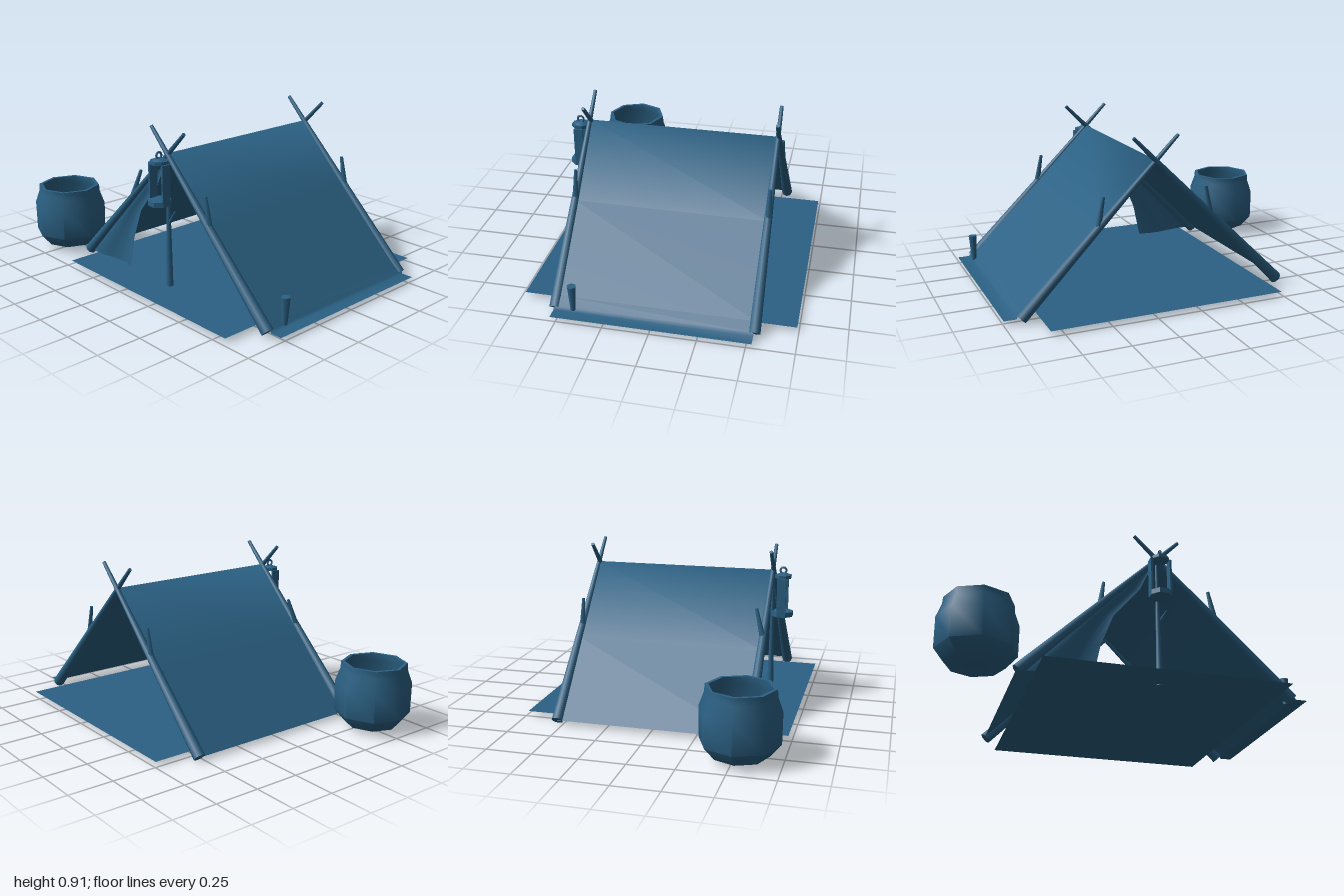
import * as THREE from 'three';
import { toCreasedNormals } from 'three/addons/utils/BufferGeometryUtils.js';

const mat = new THREE.MeshStandardMaterial({ color: 0x2b6184 });
const clothMat = new THREE.MeshStandardMaterial({ color: 0x2b6184, side: THREE.DoubleSide });
const V = (x, y, z) => new THREE.Vector3(x, y, z);

function part(parent, name, geometry, material = mat) {
  const mesh = new THREE.Mesh(geometry, material);
  mesh.name = name;
  parent.add(mesh);
  return mesh;
}

// Tapered round stick running from a to b
function stick(parent, name, a, b, ra, rb, sides = 8) {
  const dir = b.clone().sub(a);
  const mesh = part(parent, name, new THREE.CylinderGeometry(rb, ra, dir.length(), sides));
  mesh.position.copy(a).add(b).multiplyScalar(0.5);
  mesh.quaternion.setFromUnitVectors(V(0, 1, 0), dir.normalize());
  return mesh;
}

// Thin cloth surface: fn(u, v) gives a point, u and v from 0 to 1
function cloth(parent, name, nu, nv, fn) {
  const geo = new THREE.PlaneGeometry(1, 1, nu, nv);
  const { position: pos, uv } = geo.attributes;
  for (let i = 0; i < pos.count; i++) {
    const p = fn(uv.getX(i), 1 - uv.getY(i));
    pos.setXYZ(i, p.x, p.y, p.z);
  }
  geo.computeVertexNormals();
  return part(parent, name, geo, clothMat);
}

export function createModel() {
  const root = new THREE.Group();
  root.name = 'tent';
  const ridgeX = 0.165, ridgeY = 0.78, half = 0.53;

  // Ground sheet
  cloth(root, 'groundSheet', 1, 1, (u, v) => V(-0.49 + 1.31 * u, 0.03, -0.74 + 1.47 * v));

  // Canvas over the ridge, ending in a short skirt on the ground
  const profile = [[-0.585, 0.03], [-0.21, 0.405], [ridgeX, ridgeY], [0.5, 0.447],
    [0.88, 0.083], [0.925, 0.045], [0.935, 0.03], [1.0, 0.03]];
  cloth(root, 'canvas', profile.length - 1, 1, (u, v) => {
    const [x, y] = profile[Math.round(u * (profile.length - 1))];
    return V(x, y, -half + 2 * half * v);
  });

  // Front flap, drawn back to the side with soft folds
  const edge = [[0.165, 0.78], [0.125, 0.7], [0.07, 0.58], [-0.08, 0.4], [-0.15, 0.22], [-0.19, 0.03]];
  cloth(root, 'doorFlap', 6, edge.length - 1, (u, v) => {
    const [xr, y] = edge[Math.round(v * (edge.length - 1))];
    const xl = ridgeX - (ridgeY - y);
    return V(xl + (xr - xl) * u, y, 0.525 + 0.015 * v * Math.sin(u * Math.PI * 2));
  });

  // Crossed poles with side twigs at both ends
  for (const s of [1, -1]) {
    const frame = new THREE.Group();
    frame.name = s > 0 ? 'frontPoles' : 'backPoles';
    root.add(frame);
    const z = s * half;
    stick(frame, 'rightPole', V(-0.58, 0.028, z), V(0.295, 0.905, z - 0.004), 0.033, 0.01);
    stick(frame, 'leftPole', V(0.91, 0.028, z), V(0.04, 0.905, z + 0.004), 0.033, 0.01);
    const lean = s > 0 ? -0.045 : 0;
    stick(frame, 'rightTwig', V(-0.155, 0.45, z), V(-0.123, 0.615, z + lean), 0.017, 0.009, 6);
    stick(frame, 'leftTwig', V(0.49, 0.455, z), V(0.46, 0.615, z), 0.017, 0.009, 6);
  }

  // Upright post in the doorway
  stick(root, 'centrePost', V(ridgeX, 0.025, half), V(ridgeX, 0.77, half), 0.019, 0.006);
  stick(root, 'postTwig', V(ridgeX, 0.385, half), V(0.218, 0.47, half), 0.01, 0.004, 6);

  // Lantern hanging in front of the apex
  const lantern = new THREE.Group();
  lantern.name = 'lantern';
  lantern.position.set(ridgeX, 0, 0.588);
  root.add(lantern);
  const disc = (name, rTop, rBottom, h, y) => {
    const geo = new THREE.CylinderGeometry(rTop, rBottom, h, 8).rotateY(Math.PI / 8);
    part(lantern, name, toCreasedNormals(geo, 0.6)).position.y = y;
  };
  disc('lanternBase', 0.064, 0.064, 0.028, 0.526);
  disc('lanternTop', 0.05, 0.05, 0.018, 0.745);
  disc('lanternCap', 0.018, 0.04, 0.012, 0.759);
  for (const s of [1, -1]) {
    part(lantern, 'lanternSide', new THREE.BoxGeometry(0.011, 0.2, 0.052)).position.set(s * 0.053, 0.638, 0);
  }
  const ring = part(lantern, 'lanternRing', new THREE.TorusGeometry(0.017, 0.006, 6, 16));
  ring.position.y = 0.78;
  ring.rotation.y = Math.PI / 2;

  // Tent peg
  stick(root, 'peg', V(0.925, 0.04, 0.425), V(0.928, 0.19, 0.425), 0.014, 0.024);

  // Eight-sided open barrel beside the tent
  const barrel = [[0, 0.03], [0.15, 0.03], [0.21, 0.1], [0.212, 0.27], [0.185, 0.345], [0.182, 0.385],
    [0.163, 0.385], [0.166, 0.345], [0.19, 0.27], [0.188, 0.11], [0.13, 0.06], [0, 0.06]];
  const barrelGeo = new THREE.LatheGeometry(barrel.map(([r, y]) => new THREE.Vector2(r, y)), 8);
  part(root, 'barrel', toCreasedNormals(barrelGeo, 0.95)).position.set(-0.788, 0, 0.528);

  return root;
}
